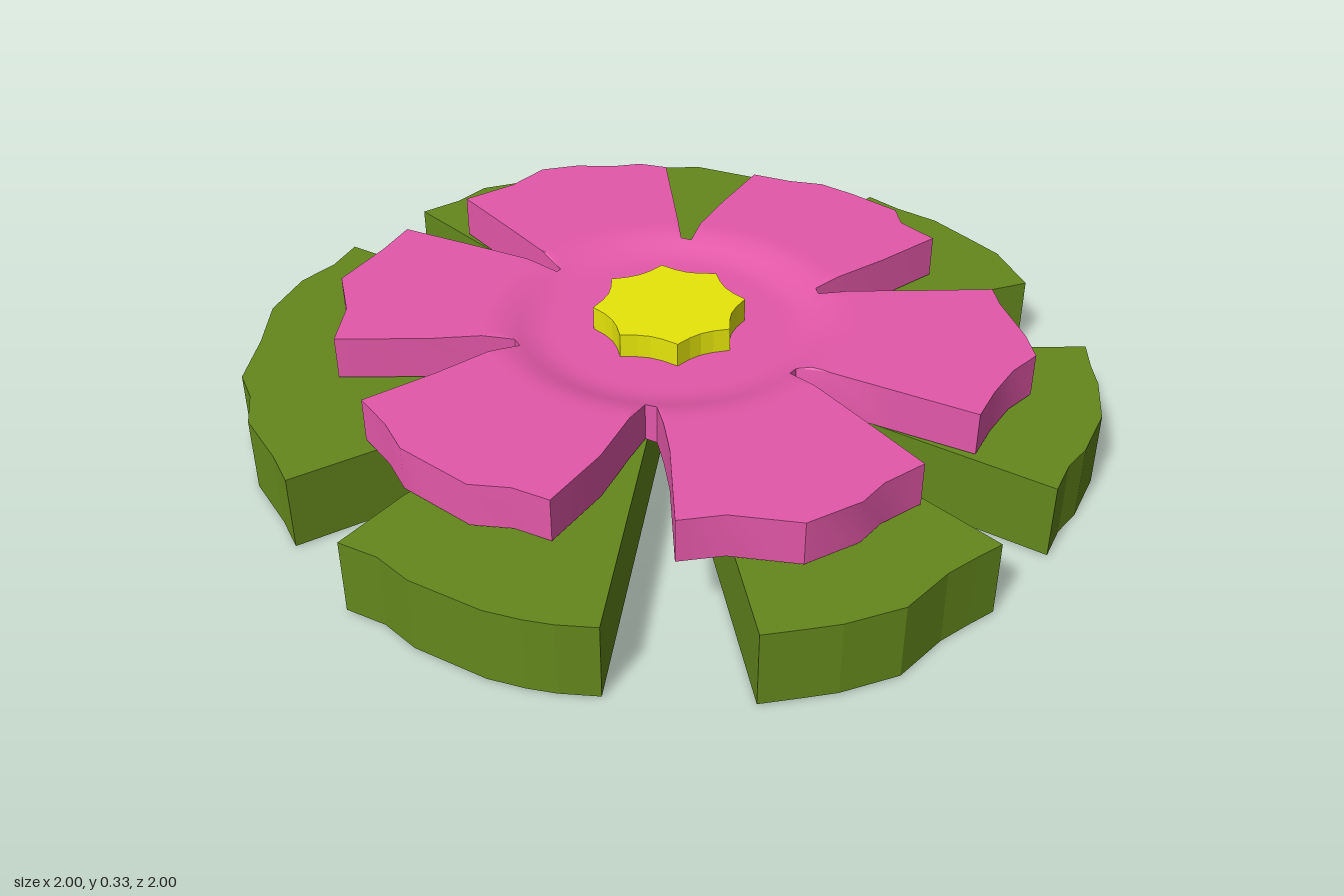
import * as THREE from 'three';
import { toCreasedNormals } from 'three/addons/utils/BufferGeometryUtils.js';

const green = new THREE.MeshStandardMaterial({ color: 0x64881c });
green.name = 'leafGreen';
const pink = new THREE.MeshStandardMaterial({ color: 0xe458a9 });
pink.name = 'petalPink';
const yellow = new THREE.MeshStandardMaterial({ color: 0xe6e60a });
yellow.name = 'centreYellow';

// Ragged outer edges of the six leaves, as [x, z], counter-clockwise from above
const leafEdges = [
  [[1, -0.11], [0.98, -0.2], [0.98, -0.28], [0.95, -0.42], [0.88, -0.54], [0.83, -0.6], [0.78, -0.67]],
  [[0.515, -0.85], [0.44, -0.9], [0.38, -0.94], [0.3, -0.96], [0.15, -0.995], [0.03, -0.99], [-0.07, -1], [-0.09, -0.8]],
  [[-0.33, -0.93], [-0.4, -0.89], [-0.57, -0.84], [-0.65, -0.77], [-0.73, -0.72], [-0.8, -0.61],
    [-0.88, -0.52], [-0.92, -0.42], [-0.97, -0.34], [-0.97, -0.24], [-1, -0.13]],
  [[-1, 0.13], [-0.97, 0.23], [-0.97, 0.34], [-0.92, 0.48], [-0.82, 0.6], [-0.73, 0.73],
    [-0.65, 0.77], [-0.57, 0.84], [-0.42, 0.89], [-0.33, 0.93]],
  [[-0.09, 0.8], [-0.08, 1], [0.02, 0.98], [0.12, 0.99], [0.3, 0.96], [0.38, 0.93], [0.44, 0.9], [0.515, 0.85]],
  [[0.77, 0.67], [0.83, 0.6], [0.88, 0.54], [0.95, 0.42], [0.96, 0.28], [0.98, 0.2], [1, 0.13]],
];

// Outlines of the six petals, same order, each beginning at the notch before it
const petalEdges = [
  [[0.365, -0.015], [0.45, -0.03], [0.6, -0.06], [0.8, -0.1], [0.78, -0.2], [0.77, -0.3], [0.78, -0.39],
    [0.72, -0.45], [0.6, -0.54], [0.55, -0.59], [0.4, -0.46], [0.28, -0.36], [0.22, -0.315]],
  [[0.2, -0.33], [0.22, -0.4], [0.26, -0.54], [0.3, -0.72], [0.19, -0.74], [0.14, -0.79], [0, -0.795],
    [-0.1, -0.79], [-0.18, -0.75], [-0.28, -0.72], [-0.25, -0.54], [-0.22, -0.4], [-0.195, -0.33]],
  [[-0.22, -0.32], [-0.28, -0.38], [-0.37, -0.47], [-0.5, -0.6], [-0.57, -0.57], [-0.62, -0.51],
    [-0.7, -0.45], [-0.76, -0.37], [-0.76, -0.25], [-0.8, -0.11], [-0.6, -0.065], [-0.45, -0.03], [-0.365, -0.01]],
  [[-0.365, 0.005], [-0.45, 0.025], [-0.6, 0.06], [-0.8, 0.11], [-0.77, 0.22], [-0.74, 0.39],
    [-0.62, 0.48], [-0.54, 0.59], [-0.37, 0.45], [-0.28, 0.36], [-0.22, 0.31]],
  [[-0.195, 0.32], [-0.22, 0.4], [-0.25, 0.54], [-0.3, 0.72], [-0.19, 0.75], [-0.1, 0.79], [0, 0.79],
    [0.1, 0.79], [0.18, 0.74], [0.27, 0.72], [0.25, 0.54], [0.21, 0.4], [0.19, 0.32]],
  [[0.22, 0.315], [0.28, 0.365], [0.35, 0.43], [0.51, 0.61], [0.58, 0.53], [0.72, 0.45], [0.77, 0.32],
    [0.77, 0.24], [0.8, 0.13], [0.6, 0.075], [0.45, 0.035], [0.365, 0.01]],
];

// Flat plan outline raised from y0 to y1
function slab(points, y0, y1) {
  const shape = new THREE.Shape(points.map(([x, z]) => new THREE.Vector2(x, -z)));
  const geo = new THREE.ExtrudeGeometry(shape, { depth: y1 - y0, bevelEnabled: false });
  return geo.rotateX(-Math.PI / 2).translate(0, y0, 0);
}

function add(parent, name, geometry, material) {
  const mesh = new THREE.Mesh(geometry, material);
  mesh.name = name;
  parent.add(mesh);
}

// Flower body: rings over the outline, dished in the middle with a gentle rise to flat petals
function blossomGeometry() {
  const outline = petalEdges.flat();
  const n = outline.length;
  const height = (r) => 0.27 + 0.033 * THREE.MathUtils.smoothstep(r, 0.3, 0.43);
  const rings = [[0], [0.27], [0.3], [0.33], [0.365], [0.4], [0.43], [0.46], [9], [9, 0.195], [0, 0.195]];
  const pos = [];
  const index = [];
  for (const [limit, y] of rings) {
    for (const [x, z] of outline) {
      const full = Math.hypot(x, z);
      const r = Math.min(limit, full);
      pos.push(x * r / full, y ?? height(r), z * r / full);
    }
  }
  for (let k = 0; k < rings.length - 1; k++) {
    for (let i = 0; i < n; i++) {
      const j = (i + 1) % n;
      const a = k * n + i, b = a + n, c = (k + 1) * n + j, d = k * n + j;
      index.push(a, b, c, a, c, d);
    }
  }
  const geo = new THREE.BufferGeometry();
  geo.setAttribute('position', new THREE.Float32BufferAttribute(pos, 3));
  geo.setIndex(index);
  return toCreasedNormals(geo, 0.6);
}

// Eight-pointed centre with hollow edges
function starPoints() {
  const points = [];
  for (let i = 0; i < 32; i++) {
    const a = -i * Math.PI / 16;
    const r = [0.184, 0.162, 0.155, 0.162][i % 4];
    points.push([Math.cos(a) * r, Math.sin(a) * r]);
  }
  return points;
}

export function createModel() {
  const model = new THREE.Group();
  model.name = 'flower';

  // Leaves: thick wedges meeting at the middle
  const leaves = new THREE.Group();
  leaves.name = 'leaves';
  model.add(leaves);
  leafEdges.forEach((edge, i) => {
    add(leaves, `leaf${i + 1}`, slab([[0, 0], ...edge], 0.002, 0.188), green);
  });

  // Pink undersides: two leaves covered up to a green rim, two others streaked
  const undersides = new THREE.Group();
  undersides.name = 'leafUndersides';
  model.add(undersides);
  const mix = (p, q, t, s) => [0, 1].map((k) => s * (p[k] + (q[k] - p[k]) * t));
  for (const i of [2, 3]) {
    const edge = leafEdges[i];
    const last = edge.length - 1;
    const panel = [mix(edge[0], edge[1], 0.2, 0.96), ...edge.slice(1, last).map((p) => mix(p, p, 0, 0.97)),
      mix(edge[last], edge[last - 1], 0.2, 0.96)];
    add(undersides, `underside${i + 1}`, slab([[0, 0], ...panel], 0, 0.003), pink);
  }
  for (const i of [0, 5]) {
    const edge = leafEdges[i];
    for (let k = 0; k < edge.length - 1; k++) {
      const streak = [mix(edge[k], edge[k + 1], 0.25, 0.97), mix(edge[k], edge[k + 1], 0.75, 0.97)];
      add(undersides, `streak${i + 1}`, slab([[0, 0], ...streak], 0, 0.003), pink);
    }
  }

  // Petals and yellow centre
  add(model, 'petals', blossomGeometry(), pink);
  add(model, 'flowerCentre', slab(starPoints(), 0.26, 0.33), yellow);
  return model;
}
